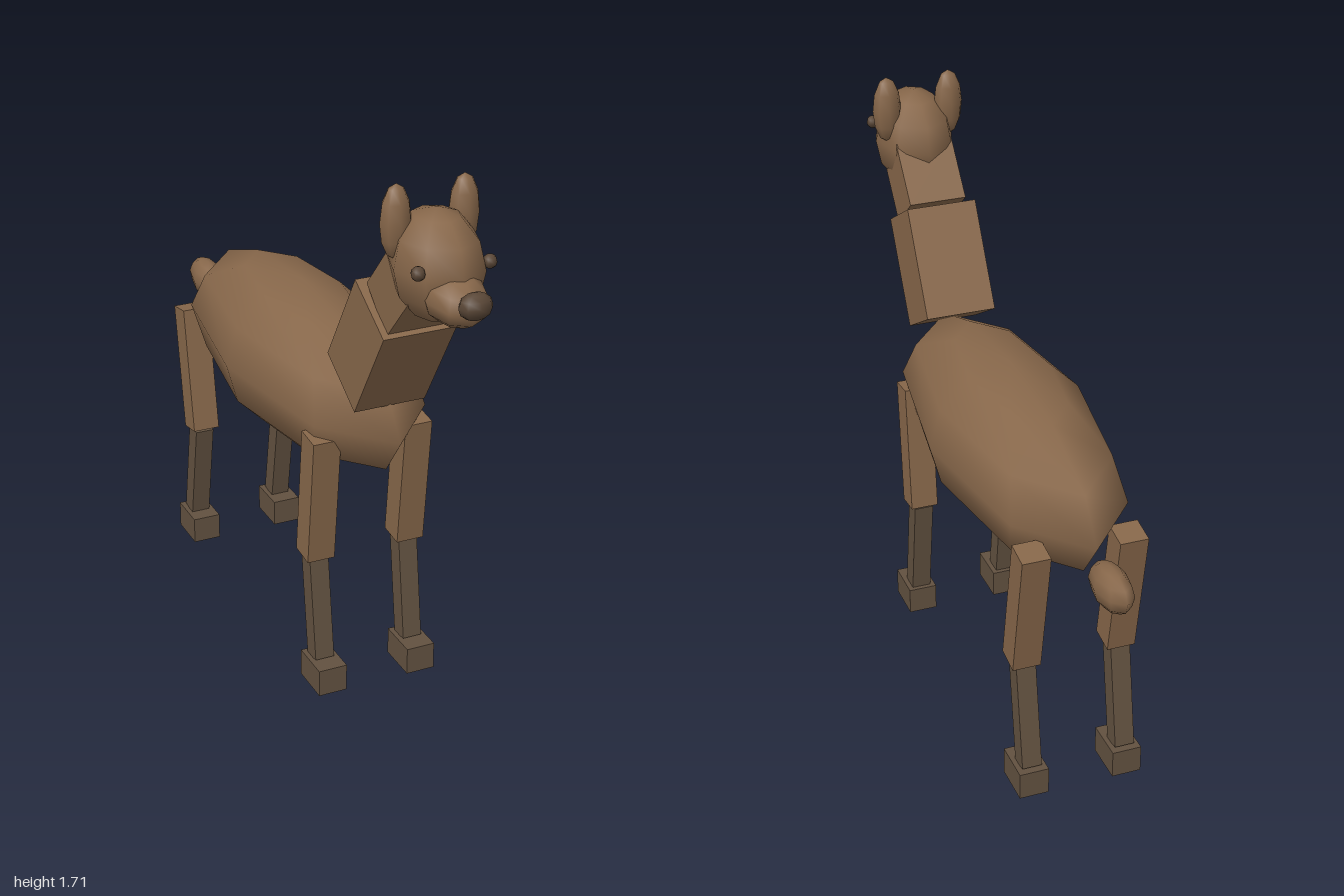
import * as THREE from 'three';

export function createModel() {
  const model = new THREE.Group();
  const material = (name, color) => {
    const m = new THREE.MeshStandardMaterial({ color });
    m.name = name;
    return m;
  };
  const coat = material('brown coat', 0x87674a);
  const dark = material('dark leg', 0x625140);
  const nose = material('nose and eye', 0x594636);

  const add = (parent, name, geometry, mat, pos, tilt = 0) => {
    const mesh = new THREE.Mesh(geometry, mat);
    mesh.name = name;
    mesh.position.set(...pos);
    mesh.rotation.x = tilt;
    parent.add(mesh);
    return mesh;
  };
  const box = (parent, name, mat, size, pos, tilt) =>
    add(parent, name, new THREE.BoxGeometry(...size), mat, pos, tilt);
  // Low-poly ellipsoid with smooth normals
  const ball = (parent, name, mat, radii, pos, tilt) =>
    add(parent, name, new THREE.SphereGeometry(1, 8, 6).scale(...radii), mat, pos, tilt);

  // Torso and tail
  ball(model, 'body', coat, [0.25, 0.245, 0.675], [0, 0.865, -0.112]);
  ball(model, 'tail', coat, [0.05, 0.064, 0.112], [0, 0.81, -0.888], 0.1);

  // Two-part neck leaning forward
  box(model, 'lowerNeck', coat, [0.22, 0.343, 0.209], [0, 1.155, 0.488], 0.542);
  box(model, 'upperNeck', coat, [0.18, 0.2, 0.165], [0, 1.375, 0.646], 0.716);

  // Head
  const head = new THREE.Group();
  head.name = 'head';
  model.add(head);
  ball(head, 'skull', coat, [0.125, 0.157, 0.156], [0, 1.483, 0.748], -0.04);
  ball(head, 'muzzle', coat, [0.085, 0.072, 0.115], [0, 1.428, 0.855], 0.08);
  ball(head, 'nose', nose, [0.05, 0.038, 0.034], [0, 1.447, 0.966]);
  for (const side of [-1, 1]) {
    ball(head, 'eye', nose, [0.02, 0.02, 0.02], [side * 0.104, 1.508, 0.846]);
    ball(head, 'ear', coat, [0.046, 0.105, 0.035], [side * 0.1, 1.6, 0.705]);
  }

  // Legs: [name, upper z, upper tilt, lower z, lower tilt, foot z]
  const legs = [
    ['frontLeg', 0.326, 0.104, 0.323, -0.13, 0.366],
    ['backLeg', -0.636, -0.17, -0.635, 0.17, -0.645],
  ];
  for (const [name, upperZ, upperTilt, lowerZ, lowerTilt, footZ] of legs) {
    for (const side of [-1, 1]) {
      const leg = new THREE.Group();
      leg.name = name;
      leg.position.x = side * 0.146;
      model.add(leg);
      box(leg, 'upperLeg', coat, [0.086, 0.41, 0.084], [0, 0.62, upperZ], upperTilt);
      box(leg, 'lowerLeg', dark, [0.06, 0.335, 0.06], [0, 0.25, lowerZ], lowerTilt);
      box(leg, 'foot', dark, [0.09, 0.085, 0.133], [0, 0.0425, footZ]);
    }
  }
  return model;
}
